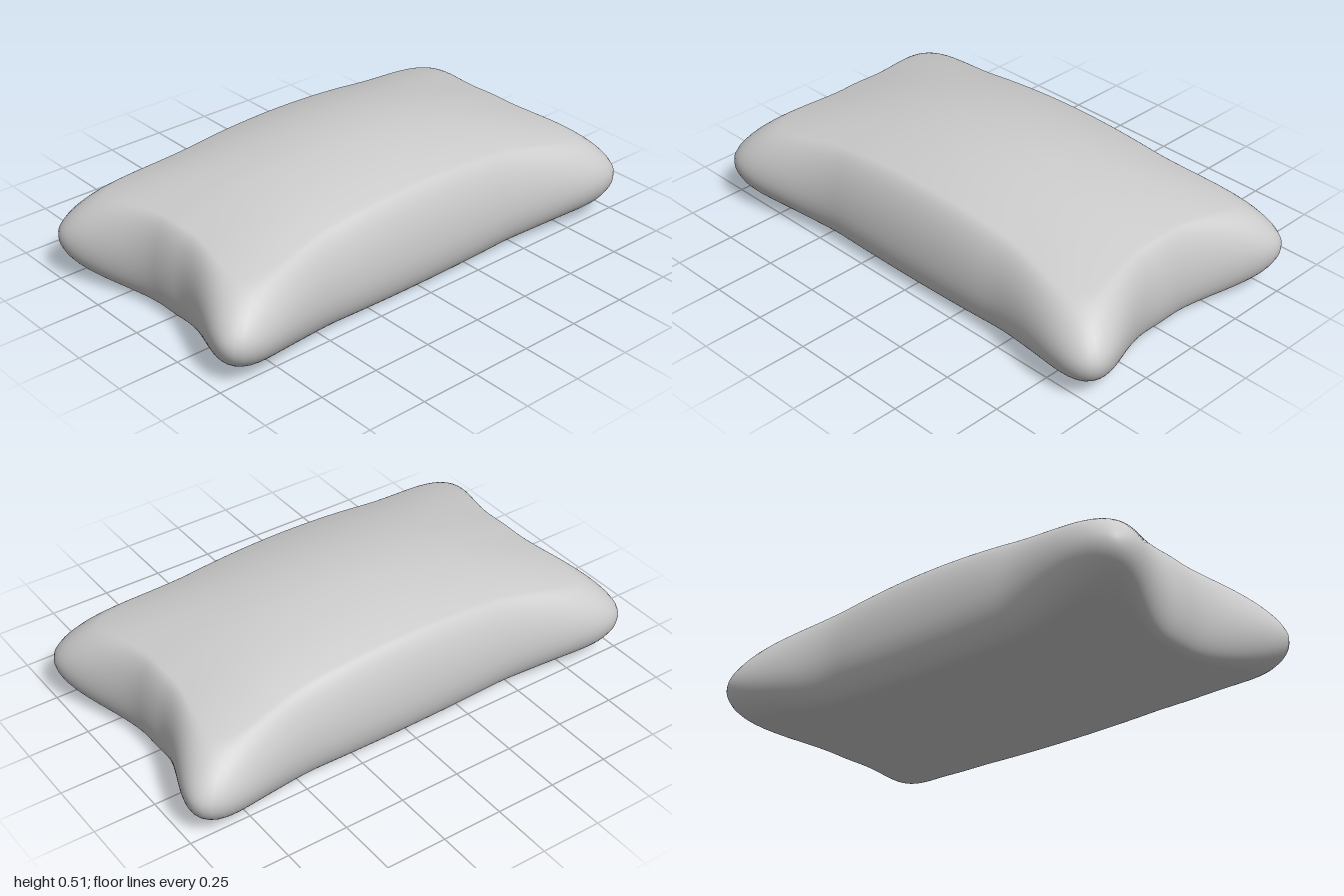
import * as THREE from 'three';
import { mergeVertices } from 'three/addons/utils/BufferGeometryUtils.js';

const SEAM_Y = 0.18;
const { smoothstep } = THREE.MathUtils;

// Point of a rounded square (superellipse) in the direction a, b
function roundedSquare(a, b, n) {
  const k = Math.pow(Math.abs(a) ** n + Math.abs(b) ** n, 1 / n) || 1;
  return [a / k, b / k];
}

// Cushion surface point for a unit-sphere direction
function cushionPoint(p) {
  const [a, b] = roundedSquare(p.x, p.z, 10);

  // Profile from middle to seam: s outwards, e up; a flat part, then a round
  // edge that is tight on the two ends and wide on the sides and corners
  const r = 0.18 - 0.1 * (1 - b * b);
  const q = Math.atan2(Math.hypot(p.x, p.z), Math.abs(p.y)) / (Math.PI / 2);
  const bend = Math.max(0, (q - 0.55) / 0.45) * Math.PI / 2;
  const s = (1 - r) * Math.min(1, q / 0.55) + r * Math.sin(bend);
  const e = Math.cos(bend);
  const u = a * s, v = b * s;

  // Sides pulled inwards between the four corners, with a slight skew
  const endPull = 1 - smoothstep(Math.abs(v), 0.1, 0.95);
  const sidePull = 1 - smoothstep(Math.abs(u), 0.4, 1);
  const x = 1.018 * u * (1 - 0.14 * endPull) + 0.006 * v;
  const z = 0.597 * v * (1 - 0.17 * sidePull) - 0.01 * u;

  // Domed top; nearly flat underside, shallow near each end, thin at corners
  const uu = u * u, vv = v * v;
  const top = 0.333 - 0.143 * uu - 0.11 * vv;
  const hollow = 0.013 * Math.exp(-(((Math.abs(u) - 0.74) / 0.15) ** 2));
  const bottom = 0.18 - 0.065 * uu * vv - hollow;
  p.set(x, SEAM_Y + (p.y > 0 ? e * top : -e * bottom), z);
}

export function createModel() {
  let geometry = new THREE.SphereGeometry(1, 192, 96);
  const pos = geometry.attributes.position;
  const p = new THREE.Vector3();
  for (let i = 0; i < pos.count; i++) {
    p.fromBufferAttribute(pos, i);
    cushionPoint(p);
    pos.setXYZ(i, p.x, p.y, p.z);
  }
  // Weld the sphere's seam and poles so shading is continuous
  geometry.deleteAttribute('uv');
  geometry.deleteAttribute('normal');
  geometry = mergeVertices(geometry, 1e-5);
  geometry.computeVertexNormals();

  const pillow = new THREE.Mesh(geometry, new THREE.MeshStandardMaterial({ color: 0xcccccc }));
  pillow.name = 'pillow';
  const group = new THREE.Group();
  group.name = 'pillowModel';
  group.add(pillow);
  return group;
}
